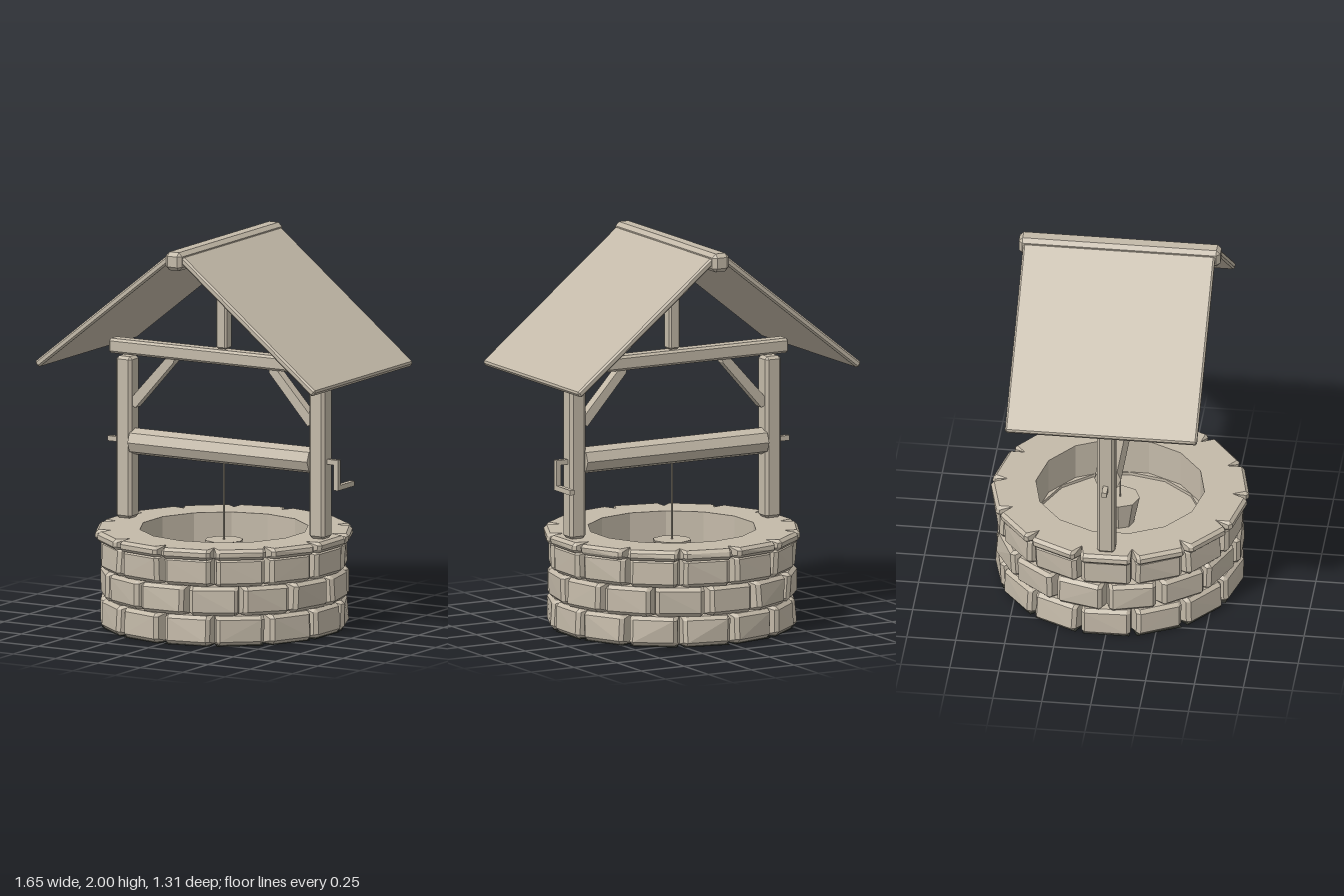
import * as THREE from 'three';
import { ConvexGeometry } from 'three/addons/geometries/ConvexGeometry.js';

const V = (x, y, z) => new THREE.Vector3(x, y, z);
const SIDES = 14;
const STEP = (Math.PI * 2) / SIDES;

export function createModel() {
  const clay = new THREE.MeshStandardMaterial({ color: 0xc4baa9 });
  clay.name = 'pale stone and timber';
  const soil = new THREE.MeshStandardMaterial({ color: 0x3e4038 });
  soil.name = 'dark underside';

  const well = new THREE.Group();
  well.name = 'well';

  let seed = 7;
  const jitter = (amount) => {
    seed = (seed * 16807) % 2147483647;
    return (seed / 2147483647 - 0.5) * 2 * amount;
  };

  const add = (name, geometry, parent = well, material = clay) => {
    const mesh = new THREE.Mesh(geometry, material);
    mesh.name = name;
    parent.add(mesh);
    return mesh;
  };

  const faceted = (geometry) => {
    const flat = geometry.toNonIndexed();
    flat.computeVertexNormals();
    return flat;
  };

  // Box with chamfered edges, given by its size and centre
  const timber = (name, w, h, d, x, y, z, c = 0.012) => {
    const points = [];
    for (const sx of [-1, 1]) for (const sy of [-1, 1]) for (const sz of [-1, 1]) {
      const [a, b, e] = [w / 2, h / 2, d / 2];
      points.push(
        V(sx * a, sy * (b - c), sz * (e - c)),
        V(sx * (a - c), sy * b, sz * (e - c)),
        V(sx * (a - c), sy * (b - c), sz * e));
    }
    const mesh = add(name, new ConvexGeometry(points));
    mesh.position.set(x, y, z);
    return mesh;
  };

  const box = (name, w, h, d, x, y, z) => {
    const mesh = add(name, new THREE.BoxGeometry(w, h, d));
    mesh.position.set(x, y, z);
    return mesh;
  };

  // Wedge stone: touches its neighbours inside, opens into a notch outside
  const stone = (inner, outer, y0, y1, c, rough) => {
    const t = Math.tan(STEP / 2);
    const mid = outer - 0.085;
    const points = [];
    for (const s of [-1, 1]) {
      const half = mid * t + jitter(rough * 0.4);
      for (const up of [0, 1]) {
        const y = up ? y1 : y0;
        const inset = up ? -c : c;
        const r = outer + jitter(rough);
        points.push(
          V(s * inner * t, y, inner),
          V(s * mid * t, y, mid),
          V(s * (half - c), y, r - c),
          V(s * half, y + inset, r - c),
          V(s * (half - c), y + inset, r));
      }
    }
    return new ConvexGeometry(points);
  };

  const course = (name, offset, inner, outer, y0, y1, c, rough, material = clay) => {
    const ring = new THREE.Group();
    ring.name = name;
    for (let i = 0; i < SIDES; i++) {
      const mesh = add(name + 'Stone', stone(inner, outer, y0, y1, c, rough), ring, material);
      mesh.rotation.y = (i + offset) * STEP;
    }
    well.add(ring);
  };

  // Stone wall, its dark underside and the rim
  course('underside', 0.5, 0.41, 0.61, 0, 0.005, 0.001, 0, soil);
  course('bottomCourse', 0.5, 0.41, 0.622, 0.005, 0.155, 0.018, 0.007);
  course('middleCourse', 0, 0.41, 0.622, 0.157, 0.306, 0.018, 0.007);
  course('topCourse', 0.5, 0.42, 0.622, 0.308, 0.455, 0.018, 0.007);
  course('rim', 0.5, 0.42, 0.645, 0.447, 0.502, 0.016, 0.003);

  // Floor of the shaft
  const floor = add('shaftFloor', faceted(new THREE.CylinderGeometry(0.428, 0.428, 0.08, 28)));
  floor.position.y = 0.25;

  // Bucket on its rope
  const bucket = add('bucket', faceted(new THREE.CylinderGeometry(0.1, 0.068, 0.16, 8)));
  bucket.position.y = 0.36;
  const rope = add('rope', new THREE.CylinderGeometry(0.004, 0.004, 0.46, 6));
  rope.position.y = 0.66;

  // Winding drum, axle and crank
  const drum = add('windingDrum', faceted(new THREE.CylinderGeometry(0.068, 0.068, 1.06, 8)));
  drum.rotation.z = Math.PI / 2;
  drum.position.y = 0.898;
  box('axle', 1.36, 0.026, 0.026, 0, 0.9, 0);
  box('crankArm', 0.026, 0.155, 0.026, 0.668, 0.834, 0);
  box('crankHandle', 0.026, 0.026, 0.163, 0.668, 0.769, -0.0685);

  // Posts, diagonal braces and roof slopes on both sides
  const slopeLength = Math.hypot(0.785, 0.625);
  const slopeAngle = Math.atan2(0.625, 0.785);
  for (const s of [-1, 1]) {
    timber('post', 0.092, 0.835, 0.092, s * 0.57, 0.919, 0, 0.015);

    const outline = [[0.28, 1.345], [0.33, 1.345], [0.527, 1.13], [0.527, 1.085], [0.508, 1.075], [0.283, 1.328]];
    const points = outline.flatMap(([x, y]) => [V(s * x, y, -0.026), V(s * x, y, 0.026)]);
    add('brace', new ConvexGeometry(points));

    const slope = timber('roofSlope', slopeLength, 0.036, 0.98, s * 0.4265, 1.6535, 0, 0.009);
    slope.rotation.z = -s * slopeAngle;
  }

  // Cross beam, king post and ridge
  timber('crossBeam', 1.325, 0.076, 0.08, 0, 1.383, 0);
  timber('kingPost', 0.062, 0.485, 0.062, 0, 1.668, 0, 0.009);
  timber('ridge', 0.095, 0.095, 1.03, 0, 1.9525, 0, 0.02);

  return well;
}
